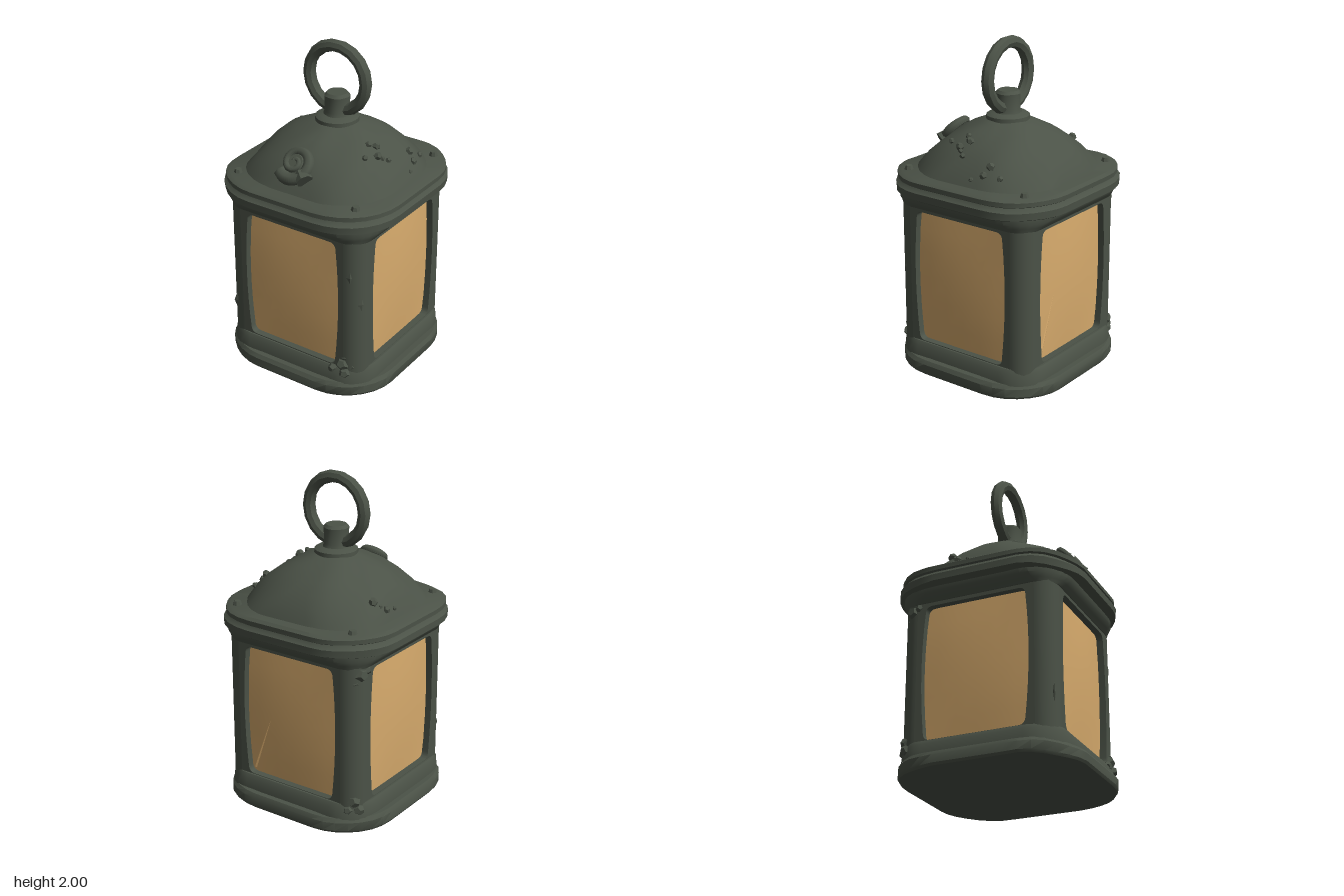
import * as THREE from 'three';
import { toCreasedNormals } from 'three/addons/utils/BufferGeometryUtils.js';

const metal = new THREE.MeshStandardMaterial({ color: 0x4b5247 });
metal.name = 'weathered metal';
const glass = new THREE.MeshStandardMaterial({ color: 0xd6aa6c, side: THREE.DoubleSide });
glass.name = 'amber glass';

function add(parent, name, geometry, material = metal, crease = 0.6) {
  const mesh = new THREE.Mesh(toCreasedNormals(geometry, crease), material);
  mesh.name = name;
  parent.add(mesh);
  return mesh;
}

// Stack of rounded squares; each section is [y, half width, corner radius]
function loft(sections, wobble = 0.004) {
  const seg = 7, n = 4 * (seg + 1), pos = [], index = [];
  sections.forEach(([y, half, r], i) => {
    for (let c = 0; c < 4; c++) for (let s = 0; s <= seg; s++) {
      const mid = (c + 0.5) * Math.PI / 2, a = (c + s / seg) * Math.PI / 2;
      const k = (half - r) * Math.SQRT2;
      const w = half > 0 ? wobble * Math.sin(a * 5 + y * 17) : 0;
      pos.push(Math.cos(mid) * k + Math.cos(a) * (r + w), y + w * (half > 0.2 ? 0.8 : 0),
        Math.sin(mid) * k + Math.sin(a) * (r + w));
    }
    if (i) for (let j = 0; j < n; j++) {
      const a = (i - 1) * n + j, b = (i - 1) * n + (j + 1) % n;
      index.push(a, a + n, b, b, a + n, b + n);
    }
  });
  const g = new THREE.BufferGeometry();
  g.setAttribute('position', new THREE.Float32BufferAttribute(pos, 3));
  g.setIndex(index);
  return g;
}

// Barrel-sided window opening
function windowPath(path) {
  path.moveTo(-0.27, 0.18);
  path.lineTo(0.27, 0.18);
  path.quadraticCurveTo(0.305, 0.18, 0.31, 0.22);
  path.quadraticCurveTo(0.35, 0.6, 0.313, 0.96);
  path.quadraticCurveTo(0.31, 1, 0.27, 1);
  path.lineTo(-0.27, 1);
  path.quadraticCurveTo(-0.31, 1, -0.313, 0.96);
  path.quadraticCurveTo(-0.35, 0.6, -0.31, 0.22);
  path.quadraticCurveTo(-0.305, 0.18, -0.27, 0.18);
  return path;
}

const domeProfile = [
  [1.2, 0.49, 0.34], [1.24, 0.468, 0.34], [1.3, 0.43, 0.335], [1.36, 0.38, 0.32],
  [1.42, 0.315, 0.29], [1.465, 0.235, 0.225], [1.5, 0.16, 0.16], [1.525, 0.1, 0.1],
];

function domeHeight(x, z) {
  const d = Math.cbrt(Math.abs(x) ** 3 + Math.abs(z) ** 3);
  for (let i = 1; i < domeProfile.length; i++) {
    const [y0, h0] = domeProfile[i - 1], [y1, h1] = domeProfile[i];
    if (d >= h1) return y0 + (y1 - y0) * (h0 - d) / (h0 - h1);
  }
  return 1.52;
}

// Tube along a spiral that tapers toward its middle
function shellGeometry() {
  const points = [];
  for (let i = 0; i <= 40; i++) {
    const t = i / 40, a = -0.75 - t * Math.PI * 3.6, r = 0.1 * (1 - t) ** 0.9 + 0.004;
    points.push(new THREE.Vector3(Math.cos(a) * -r, Math.sin(a) * r, 0.035 * t));
  }
  const curve = new THREE.CatmullRomCurve3(points), steps = 56, sides = 7;
  const g = new THREE.TubeGeometry(curve, steps, 1, sides);
  const p = g.attributes.position, v = new THREE.Vector3();
  for (let i = 0; i < p.count; i++) {
    const t = Math.floor(i / (sides + 1)) / steps, c = curve.getPointAt(t);
    v.fromBufferAttribute(p, i).sub(c).multiplyScalar(0.042 - 0.03 * t).add(c);
    p.setXYZ(i, v.x, v.y, v.z);
  }
  return g;
}

export function createModel() {
  const model = new THREE.Group();
  model.name = 'lantern';

  // Base and lower collar
  add(model, 'basePlate', loft([[0, 0, 0], [0, 0.545, 0.33], [0.015, 0.555, 0.34],
    [0.065, 0.555, 0.34], [0.088, 0.54, 0.33], [0.09, 0, 0]]));
  add(model, 'lowerCollar', loft([[0.08, 0.508, 0.2], [0.15, 0.503, 0.2],
    [0.175, 0.485, 0.17], [0.175, 0, 0]], 0.002));

  // Four walls with windows, and four rounded corner posts
  const wall = new THREE.Shape([[-0.365, 0.09], [0.365, 0.09], [0.365, 1.1], [-0.365, 1.1]]
    .map(([x, y]) => new THREE.Vector2(x, y)));
  wall.holes.push(windowPath(new THREE.Path()));
  const wallGeometry = new THREE.ExtrudeGeometry(wall, { depth: 0.055, bevelEnabled: false, curveSegments: 8 });
  wallGeometry.translate(0, 0, 0.42);

  const post = new THREE.Shape();
  post.moveTo(0.365, 0.42);
  post.lineTo(0.42, 0.365);
  post.lineTo(0.475, 0.365);
  post.absarc(0.365, 0.365, 0.11, 0, Math.PI / 2, false);
  const postGeometry = new THREE.ExtrudeGeometry(post, { depth: 1.01, bevelEnabled: false, curveSegments: 6 });
  postGeometry.rotateX(-Math.PI / 2).translate(0, 0.09, 0);

  // Slightly bulging panes
  const paneGeometry = new THREE.PlaneGeometry(0.72, 0.88, 6, 6);
  const pp = paneGeometry.attributes.position;
  for (let i = 0; i < pp.count; i++) {
    const u = pp.getX(i) / 0.36, v = pp.getY(i) / 0.44;
    pp.setZ(i, 0.432 + 0.02 * (1 - u * u) * (1 - v * v));
  }
  paneGeometry.translate(0, 0.59, 0);

  for (let k = 0; k < 4; k++) {
    const side = new THREE.Group();
    side.name = 'side' + (k + 1);
    side.rotation.y = k * Math.PI / 2;
    add(side, 'windowFrame', wallGeometry);
    add(side, 'cornerPost', postGeometry);
    add(side, 'pane', paneGeometry, glass);
    model.add(side);
  }

  // Thin scratch on the back pane
  const scratch = add(model, 'paneScratch', new THREE.ConeGeometry(0.012, 0.42, 4), glass);
  scratch.position.set(0.21, 0.41, -0.447);
  scratch.rotation.z = 0.35;
  scratch.scale.z = 0.4;

  // Upper collar and double rim
  add(model, 'upperCollar', loft([[1.02, 0, 0], [1.02, 0.48, 0.13], [1.045, 0.5, 0.18],
    [1.07, 0.52, 0.22], [1.11, 0.525, 0.24]], 0.002));
  add(model, 'lowerRim', loft([[1.095, 0, 0], [1.095, 0.55, 0.34], [1.108, 0.573, 0.35],
    [1.15, 0.575, 0.35], [1.165, 0.558, 0.34], [1.185, 0.55, 0.34]]));
  add(model, 'upperRim', loft([[1.172, 0.55, 0.34], [1.182, 0.566, 0.35], [1.208, 0.566, 0.35],
    [1.222, 0.545, 0.34], [1.222, 0, 0]]));

  // Dome, neck and hanging ring
  add(model, 'dome', loft([...domeProfile, [1.53, 0, 0]], 0.005));
  add(model, 'neckCollar', loft([[1.5, 0.13, 0.13], [1.535, 0.128, 0.128],
    [1.55, 0.105, 0.105], [1.555, 0, 0]], 0));
  add(model, 'neck', loft([[1.54, 0.085, 0.085], [1.57, 0.072, 0.072], [1.665, 0.075, 0.075],
    [1.682, 0.06, 0.06], [1.682, 0, 0]], 0.002));
  const ring = add(model, 'hangingRing', new THREE.TorusGeometry(0.195, 0.037, 8, 18), metal, 0.5);
  ring.position.y = 1.768;

  // Spiral shell on the front of the dome
  const shell = new THREE.Group();
  shell.name = 'spiralShell';
  add(shell, 'shellSpiral', shellGeometry(), metal, 0.9);
  const core = add(shell, 'shellCore', new THREE.CylinderGeometry(0.05, 0.09, 0.05, 10));
  core.rotation.x = Math.PI / 2;
  const mouth = add(shell, 'shellMouth', new THREE.CylinderGeometry(0.05, 0.042, 0.06, 7));
  mouth.position.set(0.075, -0.065, 0);
  mouth.rotation.z = -2.3;
  shell.position.set(-0.015, 1.375, 0.385);
  shell.rotation.x = -0.75;
  model.add(shell);

  // Rivets on the rim corners
  for (const x of [-0.41, 0.41]) for (const z of [-0.42, 0.42]) {
    add(model, 'rivet', new THREE.CylinderGeometry(0.02, 0.028, 0.025, 7)).position.set(x, 1.232, z);
  }

  // Barnacles: lumps with a flattened tip
  const lump = new THREE.DodecahedronGeometry(1);
  function barnacle(x, y, z, r) {
    const m = add(model, 'barnacle', lump);
    m.position.set(x, y, z);
    m.scale.set(r, r * 0.9, r);
    m.rotation.set(x * 9, y * 7, z * 11);
  }
  [[0.41, -0.25, 0.02], [0.39, -0.17, 0.027], [0.43, -0.15, 0.025], [0.455, -0.08, 0.015],
    [0.3, 0.045, 0.025], [0.38, 0.04, 0.018], [0.34, 0.09, 0.026], [0.27, 0.08, 0.02],
    [0.31, 0.175, 0.018], [0.36, 0.07, 0.015], [-0.39, -0.19, 0.028], [-0.44, -0.13, 0.024],
    [-0.45, -0.06, 0.014], [-0.42, -0.16, 0.014]]
    .forEach(([x, z, r]) => barnacle(x, domeHeight(x, z) + 0.005, z, r));
  [[0.36, 0.2, 0.47, 0.042], [0.3, 0.16, 0.485, 0.03], [0.38, 0.15, 0.48, 0.035],
    [0.37, 0.245, 0.46, 0.022], [0.41, 0.19, 0.445, 0.025],
    [-0.43, 0.19, -0.43, 0.042], [-0.46, 0.14, -0.42, 0.035], [-0.41, 0.14, -0.46, 0.03],
    [-0.45, 0.98, -0.4, 0.045], [-0.43, 0.93, -0.42, 0.032], [-0.465, 1.0, -0.36, 0.028]]
    .forEach((b) => barnacle(...b));

  // Chips on the posts
  [[0.405, 0.8, 0.462, 0.5], [-0.42, 0.36, 0.456, 0.5], [0.455, 0.62, 0.42, 1.1]].forEach(([x, y, z, turn]) => {
    const chip = add(model, 'postChip', new THREE.OctahedronGeometry(0.03));
    chip.position.set(x, y, z);
    chip.rotation.y = turn;
    chip.scale.set(0.8, 2.4, 0.35);
  });

  return model;
}
